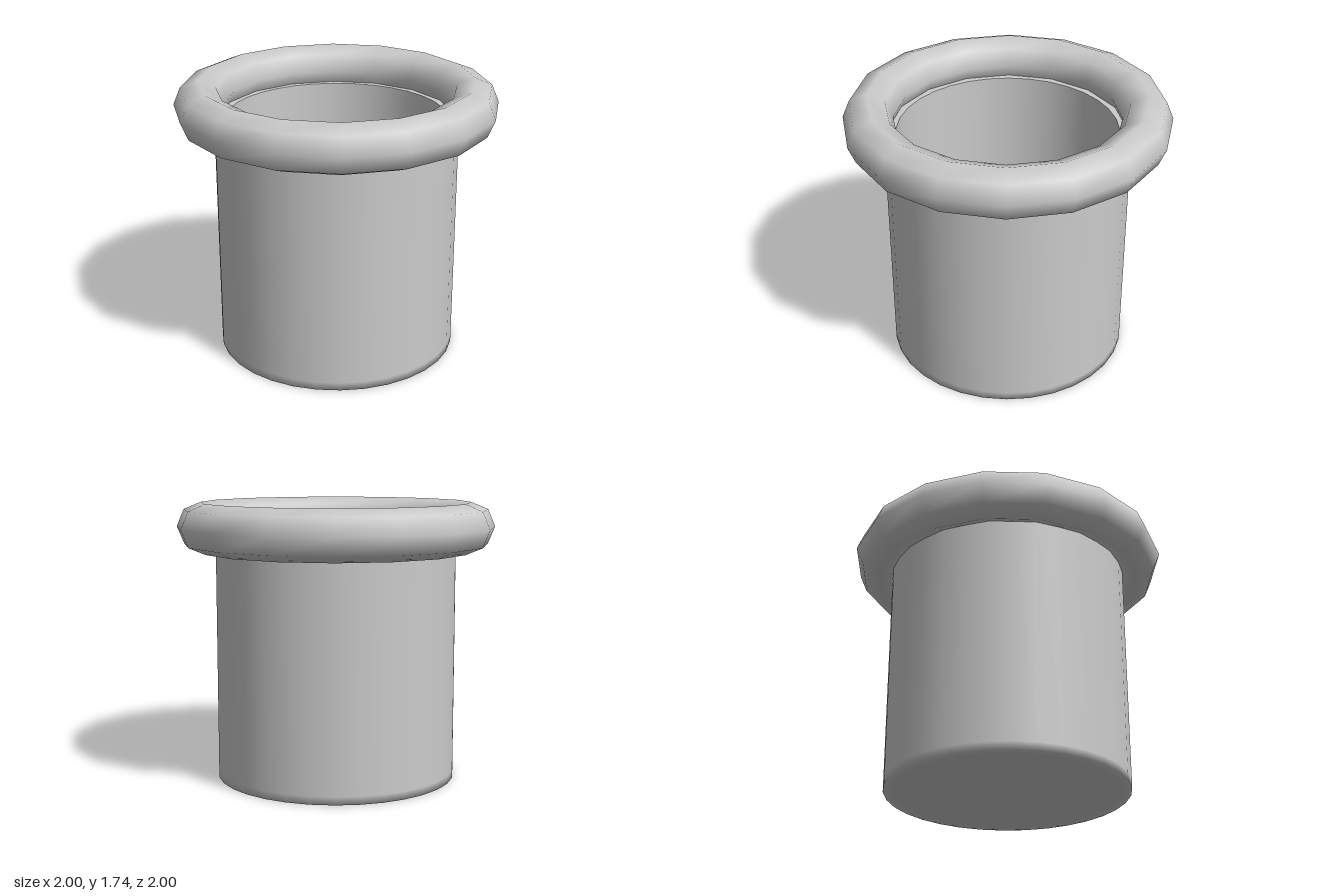
import * as THREE from 'three';

export function createModel() {
  const model = new THREE.Group();
  model.name = 'rimmedPot';
  const material = new THREE.MeshStandardMaterial({ color: 0xcccccc });

  const outer = 0.755, inner = 0.68, height = 1.51, floor = 0.075;

  // Hollow body: softened bottom edge, repeated points keep the rim and inner corners sharp
  const profile = [
    [0, 0], [0.7, 0], [outer, 0], [outer, 0.05],
    [outer, height], [outer, height],
    [inner, height], [inner, height],
    [inner, floor], [inner, floor],
    [0, floor],
  ].map(([r, y]) => new THREE.Vector2(r, y));
  const body = new THREE.Mesh(new THREE.LatheGeometry(profile, 32), material);
  body.name = 'body';
  model.add(body);

  // Thick ring around the mouth
  const ringGeometry = new THREE.TorusGeometry(0.847, 0.153, 8, 16);
  ringGeometry.rotateX(-Math.PI / 2);
  const ring = new THREE.Mesh(ringGeometry, material);
  ring.name = 'rimRing';
  ring.position.y = 1.585;
  model.add(ring);

  return model;
}
